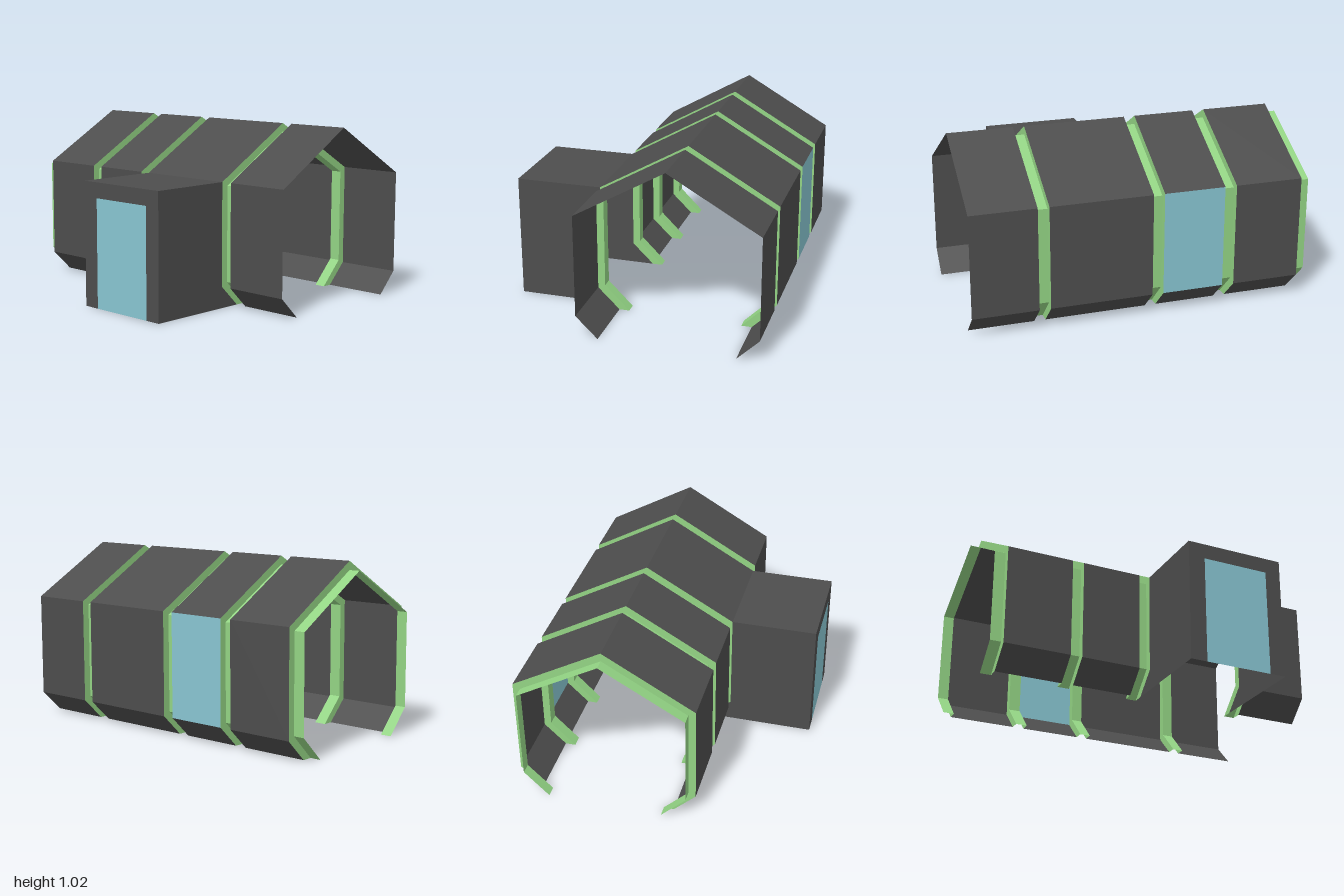
import * as THREE from 'three';

const CX = 0.25; // centre line of the hall
const mat = (color) => new THREE.MeshStandardMaterial({ color, side: THREE.DoubleSide, flatShading: true });

// Half profile (offset from centre line, height), mirrored into a full arch
const arch = (half) => [
  ...half.map(([x, y]) => [CX - x, y]),
  ...half.slice(0, -1).reverse().map(([x, y]) => [CX + x, y]),
];
const OUTER = arch([[0.395, 0], [0.523, 0.125], [0.523, 0.725], [0, 1.025]]);
const INNER = arch([[0.335, 0], [0.48, 0.145], [0.48, 0.7], [0, 0.975]]);

// Sheet through successive sections, each { p: profile, z }
function loft(sections) {
  const pos = [];
  for (let s = 0; s < sections.length - 1; s++) {
    const a = sections[s], b = sections[s + 1];
    for (let i = 0; i < a.p.length - 1; i++) {
      const A = [...a.p[i], a.z], B = [...a.p[i + 1], a.z];
      const C = [...b.p[i + 1], b.z], D = [...b.p[i], b.z];
      pos.push(...A, ...B, ...C, ...A, ...C, ...D);
    }
  }
  const g = new THREE.BufferGeometry();
  g.setAttribute('position', new THREE.Float32BufferAttribute(pos, 3));
  g.computeVertexNormals();
  return g;
}

const flat = (points) => new THREE.ShapeGeometry(new THREE.Shape(points.map(([x, y]) => new THREE.Vector2(x, y))));

export function createModel() {
  const model = new THREE.Group();
  model.name = 'shelter';
  const dark = mat(0x4d4d4d), green = mat(0x93d484), glass = mat(0x88c5d1);
  const add = (name, geometry, material, parent = model) => {
    const m = new THREE.Mesh(geometry, material);
    m.name = name;
    parent.add(m);
    return m;
  };
  const sheet = (name, p, z0, z1, material) => add(name, loft([{ p, z: z1 }, { p, z: z0 }]), material);

  // Cladding bays; the second opens into the annex, the third has a side window
  sheet('frontBay', OUTER, 0.62, 1, dark);
  sheet('annexBay', OUTER.slice(2), -0.04, 0.555, dark);
  sheet('windowBayRoof', OUTER.slice(0, 5), -0.465, -0.105, dark);
  sheet('windowBaySkirt', OUTER.slice(5), -0.465, -0.105, dark);
  sheet('sideWindow', OUTER.slice(4, 6), -0.465, -0.105, glass);
  sheet('backBay', OUTER, -0.935, -0.535, dark);

  // Recessed channel frames between the bays
  for (const [z0, z1] of [[0.555, 0.62], [-0.105, -0.04], [-0.535, -0.465]]) {
    add('channelFrame', loft([
      { p: OUTER, z: z1 }, { p: INNER, z: z1 }, { p: INNER, z: z0 }, { p: OUTER, z: z0 },
    ]), green);
  }
  // Back end frame has only one flange
  add('backEndFrame', loft([
    { p: OUTER, z: -0.935 }, { p: INNER, z: -0.935 }, { p: INNER, z: -1 },
  ]), green);

  // Annex with open floor and open passage into the hall
  const annex = new THREE.Group();
  annex.name = 'annex';
  model.add(annex);
  const xEnd = -0.775, top = 0.725, zb = -0.04, zf = 0.555;
  const side = [[xEnd, 0], OUTER[0], OUTER[1], OUTER[2], [xEnd, top]];
  for (const z of [zb, zf]) add('annexSideWall', flat(side), dark, annex).position.z = z;
  add('annexRoof', loft([
    { p: [[xEnd, top], OUTER[2]], z: zf }, { p: [[xEnd, top], OUTER[2]], z: zb },
  ]), dark, annex);

  // End wall with a glazed doorway, drawn in (z, y) and turned to face outward
  const w0 = 0.06, w1 = 0.46, wTop = 0.635;
  const wall = [[zb, 0], [w0, 0], [w0, wTop], [w1, wTop], [w1, 0], [zf, 0], [zf, top], [zb, top]];
  const door = [[w0, 0], [w1, 0], [w1, wTop], [w0, wTop]];
  for (const [name, pts, m] of [['annexEndWall', wall, dark], ['annexGlassDoor', door, glass]]) {
    const mesh = add(name, flat(pts), m, annex);
    mesh.rotation.y = -Math.PI / 2;
    mesh.position.x = xEnd;
  }
  return model;
}
